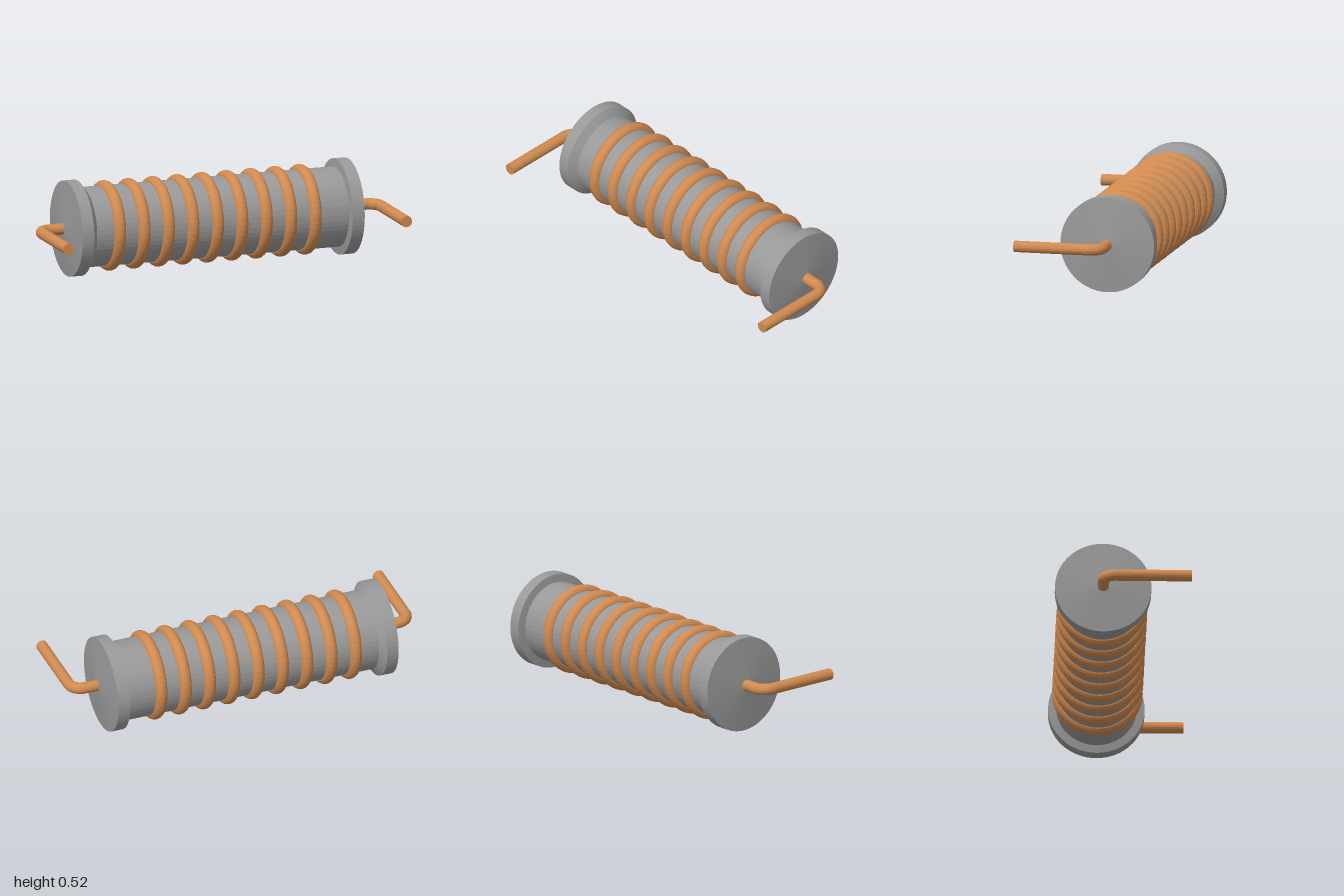
import * as THREE from 'three';

const AXIS_Y = 0.26, AXIS_Z = -0.107;

export function createModel() {
  const model = new THREE.Group();
  model.name = 'woundCoil';
  const grey = new THREE.MeshStandardMaterial({ color: 0x999999, flatShading: true });
  const copper = new THREE.MeshStandardMaterial({ color: 0xd08a50, flatShading: true });

  const add = (name, geometry, material) => {
    const mesh = new THREE.Mesh(geometry, material);
    mesh.name = name;
    model.add(mesh);
    return mesh;
  };

  // Turned solid along x from [x, radius] pairs
  const turned = (name, profile, segments) => {
    const pts = profile.map(([x, r]) => new THREE.Vector2(r, x));
    const mesh = add(name, new THREE.LatheGeometry(pts, segments), grey);
    mesh.rotation.z = -Math.PI / 2;
    mesh.position.set(0, AXIS_Y, AXIS_Z);
  };

  // Core cylinder and the two flanged end caps with shallow conical faces
  turned('core', [[-0.74, 0.217], [0.74, 0.217]], 48);
  turned('rightCap', [[-0.833, 0], [-0.807, 0.26], [-0.742, 0.26], [-0.71, 0.217]], 64);
  turned('leftCap', [[0.733, 0.217], [0.739, 0.26], [0.807, 0.26], [0.833, 0]], 64);

  // Wire turns around the core
  for (let i = 0; i < 9; i++) {
    const ring = add('wireTurn' + (i + 1), new THREE.TorusGeometry(0.211, 0.034, 16, 48), copper);
    ring.rotation.y = Math.PI / 2;
    ring.position.set(-0.578 + 0.14 * i, AXIS_Y, AXIS_Z);
  }

  // Bent leads: out along the axis, round the corner, then forward
  const bend = 0.065, reach = 0.969, tip = 0.367, wire = 0.031;
  for (const [name, s] of [['leftLead', 1], ['rightLead', -1]]) {
    const at = (x, z) => new THREE.Vector3(s * x, AXIS_Y, z);
    const path = new THREE.CurvePath();
    path.add(new THREE.LineCurve3(at(0.78, AXIS_Z), at(reach - bend, AXIS_Z)));
    const arc = [];
    for (let i = 0; i <= 8; i++) {
      const a = (i / 8) * Math.PI / 2;
      arc.push(at(reach - bend + bend * Math.sin(a), AXIS_Z + bend - bend * Math.cos(a)));
    }
    path.add(new THREE.CatmullRomCurve3(arc));
    path.add(new THREE.LineCurve3(at(reach, AXIS_Z + bend), at(reach, tip)));
    add(name, new THREE.TubeGeometry(path, 48, wire, 20), copper);
    const end = add(name + 'Tip', new THREE.CircleGeometry(wire, 20), copper);
    end.position.copy(at(reach, tip));
  }
  return model;
}
